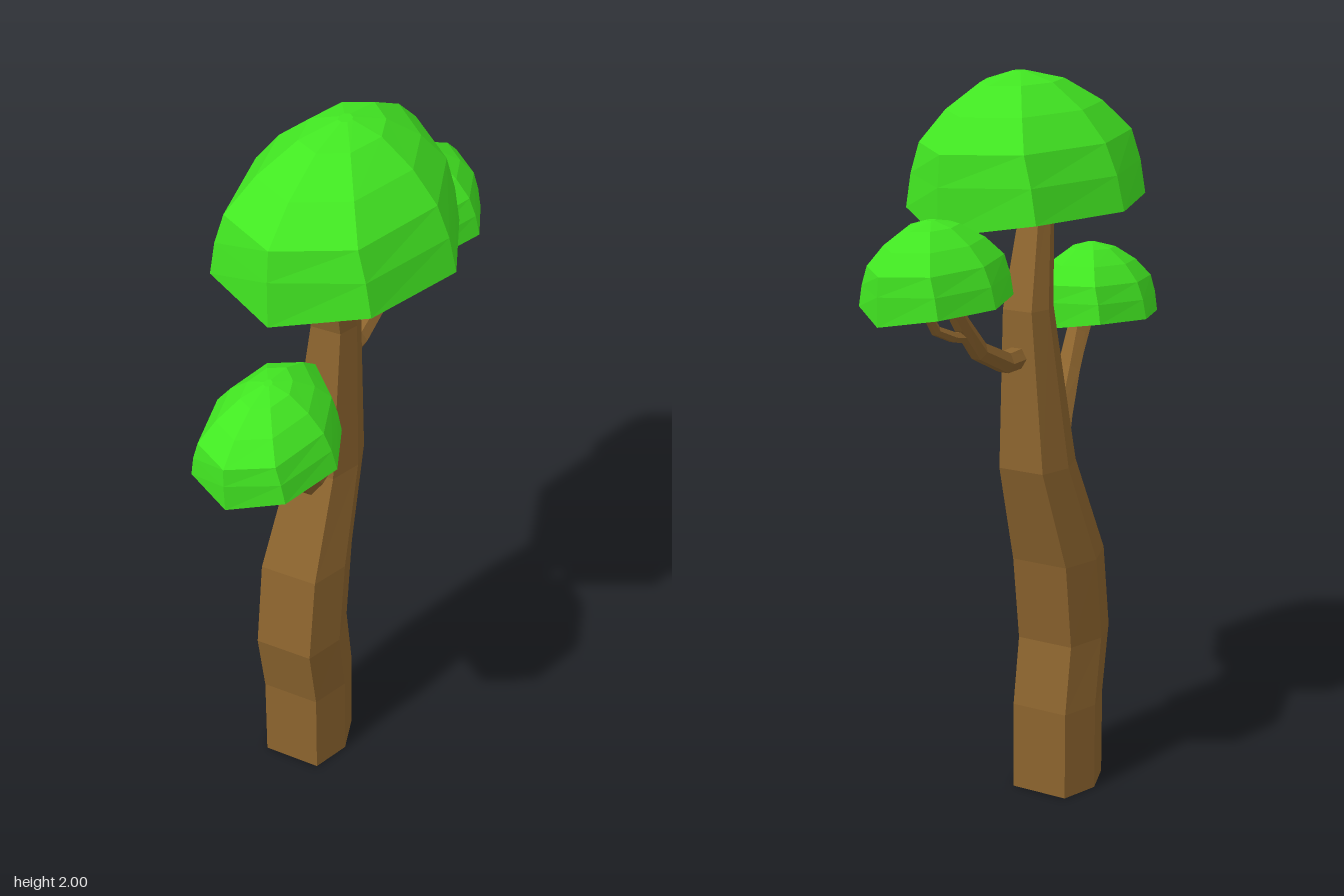
import * as THREE from 'three';

const bark = new THREE.MeshStandardMaterial({ color: 0x8c642e, flatShading: true });
const leaf = new THREE.MeshStandardMaterial({ color: 0x42e822, flatShading: true });

// Skin a stack of equal-sized rings (each counterclockwise around the stack axis) and cap both ends.
function loft(rings) {
  const n = rings[0].length, pos = [], idx = [];
  rings.forEach(r => r.forEach(p => pos.push(p.x, p.y, p.z)));
  for (let k = 0; k < rings.length - 1; k++) {
    for (let i = 0; i < n; i++) {
      const a = k * n + i, b = k * n + (i + 1) % n;
      idx.push(a, b, b + n, a, b + n, a + n);
    }
  }
  const last = (rings.length - 1) * n;
  for (let i = 1; i < n - 1; i++) idx.push(0, i + 1, i, last, last + i, last + i + 1);
  const g = new THREE.BufferGeometry();
  g.setAttribute('position', new THREE.Float32BufferAttribute(pos, 3));
  g.setIndex(idx);
  g.computeVertexNormals();
  return g;
}

function part(name, geometry, material) {
  const m = new THREE.Mesh(geometry, material);
  m.name = name;
  return m;
}

// Six-sided trunk from level sections: [y, centre x, centre z, half width, half depth]
function trunkGeometry() {
  const hex = [[1, 0], [0.7, 1], [-0.7, 1], [-1, 0], [-0.7, -1], [0.7, -1]];
  const sections = [
    [0, -0.083, 0.108, 0.118, 0.108],
    [0.25, -0.083, 0.108, 0.118, 0.108],
    [0.44, -0.083, 0.14, 0.118, 0.11],
    [0.68, -0.083, 0.106, 0.118, 0.108],
    [0.96, -0.07, 0.01, 0.095, 0.09],
    [1.39, -0.05, -0.008, 0.062, 0.058],
    [1.72, -0.033, 0.08, 0.035, 0.035],
  ];
  return loft(sections.map(([y, x, z, w, d]) =>
    hex.map(([u, v]) => new THREE.Vector3(x + u * w, y, z - v * d))));
}

// Tapered six-sided limb along points [x, y, z, radius]
function limbGeometry(path) {
  const pts = path.map(p => new THREE.Vector3(p[0], p[1], p[2]));
  return loft(pts.map((p, k) => {
    const t = pts[Math.min(k + 1, pts.length - 1)].clone().sub(pts[Math.max(k - 1, 0)]).normalize();
    const u = new THREE.Vector3(1, 0, 0).addScaledVector(t, -t.x).normalize();
    const v = t.clone().cross(u);
    return Array.from({ length: 6 }, (_, i) => {
      const a = i * Math.PI / 3, r = path[k][3];
      return p.clone().addScaledVector(u, r * Math.cos(a)).addScaledVector(v, r * Math.sin(a));
    });
  }));
}

// Irregular eight-sided dome with steep ends and a closed underside
function canopyGeometry() {
  const rim = [[0.31, 0.01], [0.207, -0.225], [0, -0.4], [-0.223, -0.3],
    [-0.31, 0], [-0.22, 0.295], [0, 0.4], [0.223, 0.295]];
  // [height, x scale, z scale]
  const levels = [[0, 1, 1], [0.09, 0.93, 0.995], [0.17, 0.82, 0.97], [0.25, 0.6, 0.72],
    [0.315, 0.32, 0.38], [0.34, 0.06, 0.06]];
  return loft(levels.map(([y, sx, sz], k) => rim.map(([x, z]) =>
    new THREE.Vector3(x * sx, y - (k === 0 && x === 0 ? 0.032 : 0), z * sz))));
}

export function createModel() {
  const tree = new THREE.Group();
  tree.name = 'tree';
  tree.add(part('trunk', trunkGeometry(), bark));

  // Limbs
  const limbs = {
    frontBranch: [[-0.075, 0.98, 0.04, 0.045], [-0.06, 0.975, 0.11, 0.045], [-0.015, 1.035, 0.22, 0.042],
      [0.01, 1.14, 0.32, 0.036], [0.025, 1.235, 0.39, 0.03], [0.03, 1.34, 0.46, 0.024]],
    frontTwig: [[0.0, 1.09, 0.30, 0.022], [0.025, 1.12, 0.37, 0.022], [0.04, 1.165, 0.43, 0.019],
      [0.04, 1.235, 0.48, 0.015], [0.035, 1.31, 0.525, 0.012]],
    backBranch: [[-0.05, 1.265, -0.02, 0.032], [-0.05, 1.265, -0.13, 0.03], [-0.045, 1.32, -0.25, 0.027],
      [-0.035, 1.4, -0.315, 0.024], [-0.03, 1.47, -0.365, 0.021], [-0.025, 1.54, -0.4, 0.018]],
    backTwig: [[-0.04, 1.36, -0.28, 0.016], [-0.03, 1.375, -0.35, 0.015], [-0.015, 1.4, -0.405, 0.014],
      [-0.015, 1.45, -0.445, 0.012], [-0.02, 1.52, -0.48, 0.01]],
  };
  for (const [name, path] of Object.entries(limbs)) tree.add(part(name, limbGeometry(path), bark));

  // Foliage: name, position, scale, tilt about x
  const dome = canopyGeometry();
  [
    ['topCanopy', [0, 1.66, 0.03], 1, 0],
    ['frontCanopy', [0.01, 1.285, 0.437], 0.59, 0.07],
    ['backCanopy', [-0.025, 1.482, -0.44], 0.595, 0],
  ].forEach(([name, p, s, tilt]) => {
    const c = part(name, dome, leaf);
    c.position.set(...p);
    c.scale.setScalar(s);
    c.rotation.x = tilt;
    tree.add(c);
  });
  return tree;
}
